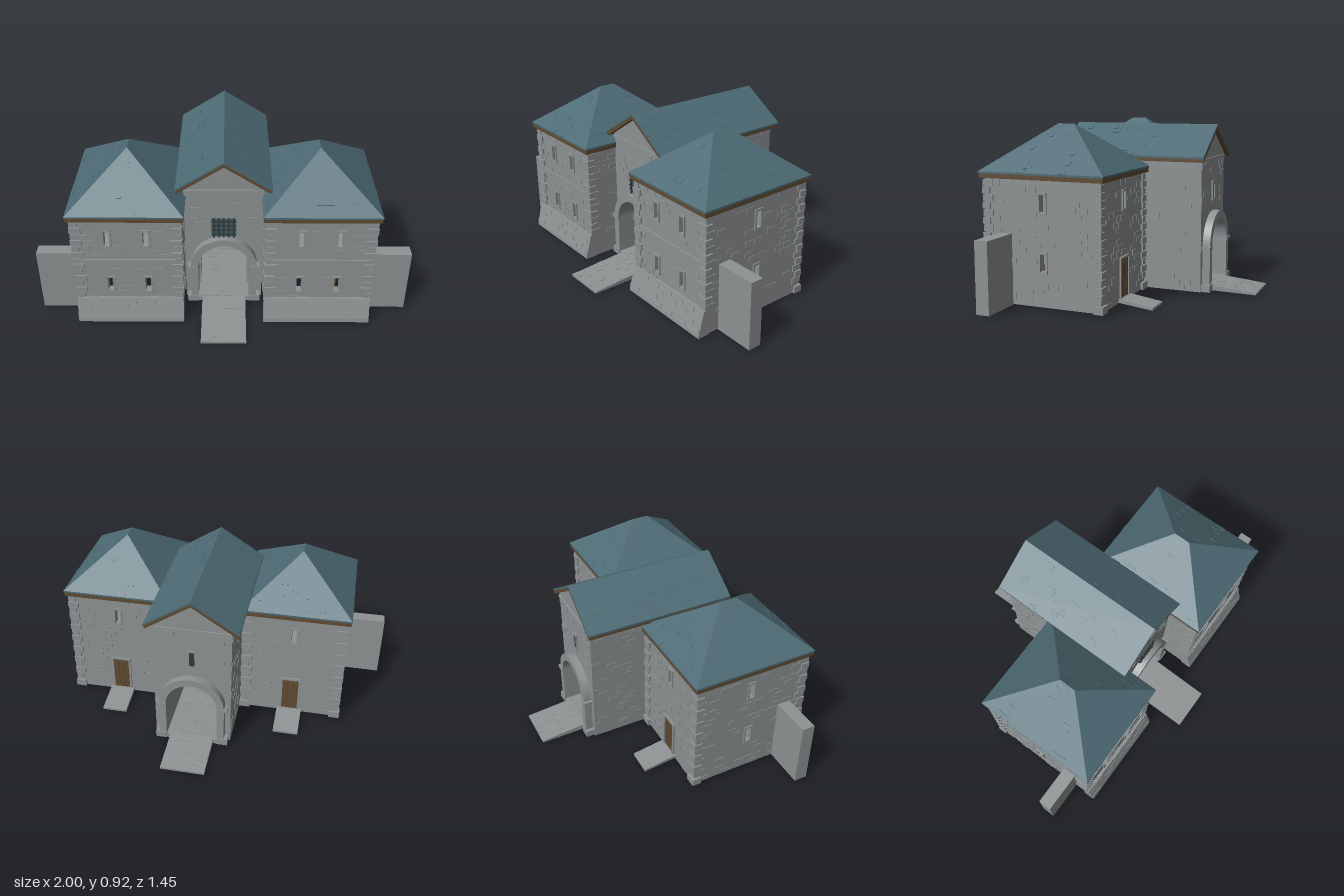
import * as THREE from 'three';
import { mergeGeometries } from 'three/addons/utils/BufferGeometryUtils.js';

const mat = (name, color) => Object.assign(new THREE.MeshStandardMaterial({ color }), { name });
const STONE = mat('stone', 0x8e9293);
const SLATE = mat('slate roof', 0x4d6a74);
const TRIM = mat('eaves timber', 0x5f4b33);
const WOOD = mat('door timber', 0x5a4a2c);
const PANE = mat('window pane', 0x3f5d68);
const IRON = mat('iron', 0x34383a);
const V = (x, y, z) => new THREE.Vector3(x, y, z);

let seed = 7;
const rand = () => (seed = (seed * 16807) % 2147483647) / 2147483647;

function add(parent, name, geo, material) {
  const m = new THREE.Mesh(geo, material);
  m.name = name;
  parent.add(m);
  return m;
}
// box from its min and max corners
function boxGeo(x0, x1, y0, y1, z0, z1) {
  return new THREE.BoxGeometry(x1 - x0, y1 - y0, z1 - z0)
    .translate((x0 + x1) / 2, (y0 + y1) / 2, (z0 + z1) / 2);
}
const box = (p, name, m, ...b) => add(p, name, boxGeo(...b), m);
const extrude = (shape, z0, z1) =>
  new THREE.ExtrudeGeometry(shape, { depth: z1 - z0, bevelEnabled: false, curveSegments: 20 }).translate(0, 0, z0);
const poly = (pts) => new THREE.Shape(pts.map(([x, y]) => new THREE.Vector2(x, y)));
const rect = (x, y, w, h) =>
  [[x - w / 2, y - h / 2], [x + w / 2, y - h / 2], [x + w / 2, y + h / 2], [x - w / 2, y + h / 2]];
// side profile of [z, y] points swept along x
const sweepX = (pts, x0, x1) => extrude(poly(pts.map(([z, y]) => [-z, y])), x0, x1).rotateY(Math.PI / 2);

// scattered thin stones or slates laid in rows over a flat panel
function courses(p, name, m, o, u, v, w, h, opt = {}) {
  const { row = 0.03, len = 0.06, density = 0.3, t = 0.003, inset = 0, avoid = [] } = opt;
  u.normalize(); v.normalize();
  const n = u.clone().cross(v), list = [];
  for (let r = 0; (r + 1) * row <= h; r++) {
    const y0 = r * row, y1 = y0 + row * 0.92;
    for (let x = (r % 2) * len / 2; x < w; x += len) {
      const a = x, b = x + len * (0.75 + 0.2 * rand());
      if (rand() > density || a < inset * y1 || b > w - inset * y1) continue;
      if (avoid.some(([ax, ay, aw, ah]) =>
        b > ax - aw / 2 && a < ax + aw / 2 && y1 > ay - ah / 2 && y0 < ay + ah / 2)) continue;
      const c = o.clone().addScaledVector(u, (a + b) / 2).addScaledVector(v, (y0 + y1) / 2);
      list.push(new THREE.BoxGeometry(b - a, y1 - y0, t * 2)
        .applyMatrix4(new THREE.Matrix4().makeBasis(u, v, n).setPosition(c)));
    }
  }
  if (list.length) add(p, name, mergeGeometries(list), m);
}

// raised border around an opening
function frame(p, name, m, x, y, w, h, edge, z0, z1) {
  const s = poly(rect(x, y, w, h));
  s.holes.push(poly(rect(x, y, w - 2 * edge, h - 2 * edge)));
  add(p, name, extrude(s, z0, z1), m);
}

// wall facing +z with slit windows and an optional door
function wall(p, name, x0, x1, windows, doorX) {
  const g = new THREE.Group();
  g.name = name;
  const s = poly([[x0, 0.018], [x1, 0.018], [x1, 0.66], [x0, 0.66]]);
  const avoid = [];
  for (const [x, y] of windows) {
    s.holes.push(poly(rect(x, y, 0.028, 0.088)));
    frame(g, 'windowFrame', STONE, x, y, 0.05, 0.11, 0.011, -0.01, 0.007);
    avoid.push([x - x0, y - 0.02, 0.05, 0.11]);
  }
  add(g, 'wallPanel', extrude(s, -0.035, 0), STONE);
  if (doorX !== undefined) {
    door(g, doorX, 0.04);
    avoid.push([doorX - x0, 0.1, 0.13, 0.26]);
  }
  courses(g, 'wallStones', STONE, V(x0, 0.02, 0), V(1, 0, 0), V(0, 1, 0), x1 - x0, 0.64, { avoid });
  p.add(g);
  return g;
}

// plank door facing +z
function door(p, x, y) {
  box(p, 'doorPanel', WOOD, x - 0.045, x + 0.045, y, y + 0.2, -0.002, 0.004);
  for (let i = -1; i <= 1; i++)
    box(p, 'doorPlank', TRIM, x + i * 0.028 - 0.011, x + i * 0.028 + 0.011, y + 0.01, y + 0.19, 0, 0.007);
  frame(p, 'doorFrame', STONE, x, y + 0.1, 0.115, 0.225, 0.0125, -0.002, 0.01);
}

// alternating corner stones; sx and sz point out of the corner
function quoins(p, x, z, sx, sz, y0) {
  const list = [], pitch = 0.0385;
  for (let i = 0; 0.65 - (i + 1) * pitch >= y0 - 0.01; i++) {
    const y = 0.65 - (i + 1) * pitch, a = i % 2 ? 0.05 : 0.034, b = i % 2 ? 0.034 : 0.05;
    const out = i % 2 ? 0.01 : 0.007;
    const xs = [x + sx * out, x - sx * a].sort((m, n) => m - n);
    const zs = [z + sz * out, z - sz * b].sort((m, n) => m - n);
    list.push(boxGeo(...xs, y + 0.002, y + pitch - 0.003, ...zs));
  }
  add(p, 'cornerStones', mergeGeometries(list), STONE);
}

// hipped roof: eaves rectangle rising to a short ridge along z
function hipRoof(p) {
  const y0 = 0.688, y1 = 0.92, A = [-0.3, y0, 0.54], B = [0.3, y0, 0.54], C = [0.3, y0, -0.15], D = [-0.3, y0, -0.15];
  const E = [0, y1, 0.24], F = [0, y1, 0.15];
  const tri = [A, B, E, B, C, F, B, F, E, C, D, F, D, A, E, D, E, F];
  const geo = new THREE.BufferGeometry();
  geo.setAttribute('position', new THREE.Float32BufferAttribute(tri.flat(), 3));
  geo.computeVertexNormals();
  add(p, 'hippedRoof', geo, SLATE);
  box(p, 'roofEdge', SLATE, -0.3, 0.3, 0.678, y0, -0.15, 0.54);
  box(p, 'eaves', TRIM, -0.297, 0.297, 0.655, 0.678, -0.147, 0.537);
  const rise = y1 - y0, L = Math.hypot(rise, 0.3), opt = { row: 0.034, len: 0.045, density: 0.1, t: 0.002, inset: 0.3 / L };
  courses(p, 'slates', SLATE, V(...A), V(1, 0, 0), V(0, rise, -0.3), 0.6, L, opt);
  courses(p, 'slates', SLATE, V(...C), V(-1, 0, 0), V(0, rise, 0.3), 0.6, L, opt);
  courses(p, 'slates', SLATE, V(...B), V(0, 0, -1), V(-0.3, rise, 0), 0.69, L, opt);
  courses(p, 'slates', SLATE, V(...D), V(0, 0, 1), V(0.3, rise, 0), 0.69, L, opt);
}

function tower(s) {
  const g = new THREE.Group();
  g.name = s > 0 ? 'leftTower' : 'rightTower';
  g.position.x = s * 0.5;
  const W = 0.278, zf = 0.515, zb = -0.125, low = 0.243, high = 0.54;
  // four walls
  wall(g, 'frontWall', -W, W, [-0.1, 0.1].flatMap((x) => [[x, low], [x, high]])).position.z = zf;
  const back = wall(g, 'backWall', -W, W, [[0, high]], 0);
  back.position.z = zb;
  back.rotation.y = Math.PI;
  for (const r of [-1, 1]) {
    const xs = r > 0 ? [-0.48, 0.09] : [-0.09, 0.48];
    const side = wall(g, 'sideWall', ...xs, r === s ? [[-r * 0.188, low], [-r * 0.188, high]] : []);
    side.position.x = r * W;
    side.rotation.y = r * Math.PI / 2;
  }
  // corner stones, string course and sloping plinth
  for (const r of [-1, 1]) quoins(g, r * W, zf, r, 1, 0.15);
  for (const r of [-1, 1]) quoins(g, r * W, zb, r, -1, 0.05);
  for (const r of [-1, 1]) box(g, 'cornerBase', STONE, r * 0.26 - 0.03, r * 0.26 + 0.03, 0.016, 0.055, -0.14, -0.09);
  box(g, 'stringCourse', STONE, -W, W, 0.392, 0.408, zf, zf + 0.008);
  add(g, 'plinth', sweepX([[0.5, 0.018], [0.565, 0.018], [0.562, 0.04], [0.53, 0.155], [0.5, 0.155]], -0.285, 0.285), STONE);
  courses(g, 'plinthStones', STONE, V(-0.285, 0.04, 0.562), V(1, 0, 0), V(0, 0.115, -0.032), 0.57, 0.12,
    { row: 0.029, len: 0.095, density: 0.6 });
  hipRoof(g);
  // back ramp and outer wing wall
  add(g, 'doorRamp', sweepX([[-0.12, 0.04], [-0.31, 0.012], [-0.31, 0], [-0.12, 0.022]], -0.07, 0.07), STONE);
  box(g, 'wingWall', STONE, ...[s * 0.27, s * 0.5].sort((a, b) => a - b), 0.015, 0.38, 0.363, 0.435);
  // upper floor, posts and stairs inside
  box(g, 'upperFloor', STONE, -0.243, 0.243, 0.37, 0.385, -0.09, 0.48);
  for (const x of [-0.12, 0.12]) for (const z of [0.05, 0.32])
    box(g, 'post', WOOD, x - 0.01, x + 0.01, 0.03, 0.37, z - 0.01, z + 0.01);
  for (const x of [0.15, 0.235])
    add(g, 'stairString', sweepX([[0.4, 0.03], [0.37, 0.03], [0.03, 0.37], [0.06, 0.37]], s * x - 0.005, s * x + 0.005), WOOD);
  for (let i = 0; i < 10; i++) {
    const y = 0.05 + i * 0.032, z = 0.365 - i * 0.032;
    box(g, 'stairTread', WOOD, s * 0.1925 - 0.0425, s * 0.1925 + 0.0425, y, y + 0.008, z - 0.016, z + 0.018);
  }
  return g;
}

// arched opening cut into the base of an outline
function archedShape(outerX) {
  const s = new THREE.Shape();
  s.moveTo(-outerX, 0.018); s.lineTo(-0.14, 0.018); s.lineTo(-0.14, 0.255);
  s.absarc(0, 0.255, 0.14, Math.PI, 0, true);
  s.lineTo(0.14, 0.018); s.lineTo(outerX, 0.018);
  return s;
}
// slope-following roof layer
const chevron = (hw, eave, peak, t) =>
  poly([[-hw, eave - t], [0, peak - t], [hw, eave - t], [hw, eave], [0, peak], [-hw, eave]]);

function gatehouse() {
  const g = new THREE.Group();
  g.name = 'gatehouse';
  // gabled block with vaulted passage
  const body = archedShape(0.21);
  body.lineTo(0.21, 0.74); body.lineTo(0, 0.88); body.lineTo(-0.21, 0.74);
  add(g, 'gatehouseWalls', extrude(body, -0.445, 0.345), STONE);
  add(g, 'gableTimbers', extrude(chevron(0.247, 0.737, 0.897, 0.02), -0.465, 0.37), TRIM);
  add(g, 'gableRoof', extrude(chevron(0.252, 0.746, 0.907, 0.011), -0.468, 0.373), SLATE);
  const L = Math.hypot(0.252, 0.161), opt = { row: 0.034, len: 0.05, density: 0.1, t: 0.002 };
  courses(g, 'slates', SLATE, V(0.252, 0.746, 0.373), V(0, 0, -1), V(-0.252, 0.161, 0), 0.841, L, opt);
  courses(g, 'slates', SLATE, V(-0.252, 0.746, -0.468), V(0, 0, 1), V(0.252, 0.161, 0), 0.841, L, opt);
  // arch surrounds, ledges and wall stones at both ends
  const ring = archedShape(0.18);
  ring.lineTo(0.18, 0.255);
  ring.absarc(0, 0.255, 0.18, 0, Math.PI, false);
  for (const [z, d] of [[0.345, 1], [-0.445, -1]]) {
    const at = (depth) => [z, z + d * depth].sort((a, b) => a - b);
    add(g, 'archSurround', extrude(ring, ...at(0.042)), STONE);
    for (const r of [-1, 1]) {
      box(g, 'archImpost', STONE, r * 0.168 - 0.028, r * 0.168 + 0.028, 0.245, 0.262, ...at(0.047));
      box(g, 'archBase', STONE, r * 0.17 - 0.03, r * 0.17 + 0.03, 0.018, 0.055, ...at(0.047));
    }
    box(g, 'gableLedge', STONE, -0.21, 0.21, 0.715, 0.73, ...at(0.008));
    courses(g, 'wallStones', STONE, V(-d * 0.21, 0.02, z), V(d, 0, 0), V(0, 1, 0), 0.42, 0.69,
      { avoid: [[0.21, 0.2, 0.36, 0.44], [0.21, 0.5, 0.15, 0.16]] });
  }
  for (const r of [-1, 1])
    courses(g, 'wallStones', STONE, V(r * 0.21, 0.02, r > 0 ? -0.13 : -0.445), V(0, 0, -r), V(0, 1, 0), 0.315, 0.7);
  // barred front window
  box(g, 'gateWindow', PANE, -0.065, 0.065, 0.435, 0.55, 0.345, 0.35);
  for (let i = -2; i <= 2; i++) box(g, 'windowBar', IRON, i * 0.026 - 0.004, i * 0.026 + 0.004, 0.43, 0.555, 0.35, 0.358);
  for (let i = 0; i < 4; i++) box(g, 'windowBar', IRON, -0.067, 0.067, 0.448 + i * 0.028, 0.454 + i * 0.028, 0.35, 0.357);
  // slit window at the back
  box(g, 'backWindow', IRON, -0.014, 0.014, 0.5, 0.59, -0.448, -0.444);
  frame(g, 'windowFrame', STONE, 0, 0.545, 0.05, 0.11, 0.011, -0.453, -0.44);
  // passage doors
  for (const r of [-1, 1]) {
    const d = new THREE.Group();
    d.name = 'passageDoor';
    door(d, 0, 0.045);
    d.position.set(r * 0.14, 0, 0.2);
    d.rotation.y = -r * Math.PI / 2;
    g.add(d);
  }
  // paved passage floor and ramps
  box(g, 'passageFloor', STONE, -0.145, 0.145, 0.015, 0.042, -0.485, 0.385);
  add(g, 'frontRamp', sweepX([[0.37, 0.043], [0.72, 0.018], [0.72, 0.008], [0.37, 0.012]], -0.12, 0.12), STONE);
  add(g, 'backRamp', sweepX([[-0.47, 0.043], [-0.727, 0.018], [-0.727, 0.008], [-0.47, 0.012]], -0.12, 0.12), STONE);
  const pave = { row: 0.04, len: 0.06, density: 0.5, t: 0.002 };
  courses(g, 'paving', STONE, V(-0.12, 0.018, 0.72), V(1, 0, 0), V(0, 0.025, -0.35), 0.24, 0.33, pave);
  courses(g, 'paving', STONE, V(0.12, 0.018, -0.727), V(-1, 0, 0), V(0, 0.025, 0.257), 0.24, 0.24, pave);
  courses(g, 'paving', STONE, V(-0.12, 0.042, 0.38), V(1, 0, 0), V(0, 0, -1), 0.24, 0.85, pave);
  courses(g, 'pavingUnderside', STONE, V(-0.12, 0.015, -0.46), V(1, 0, 0), V(0, 0, 1), 0.24, 0.82, pave);
  return g;
}

export function createModel() {
  seed = 7;
  const model = new THREE.Group();
  model.name = 'twinTowerGatehouse';
  model.add(gatehouse(), tower(1), tower(-1));
  return model;
}
